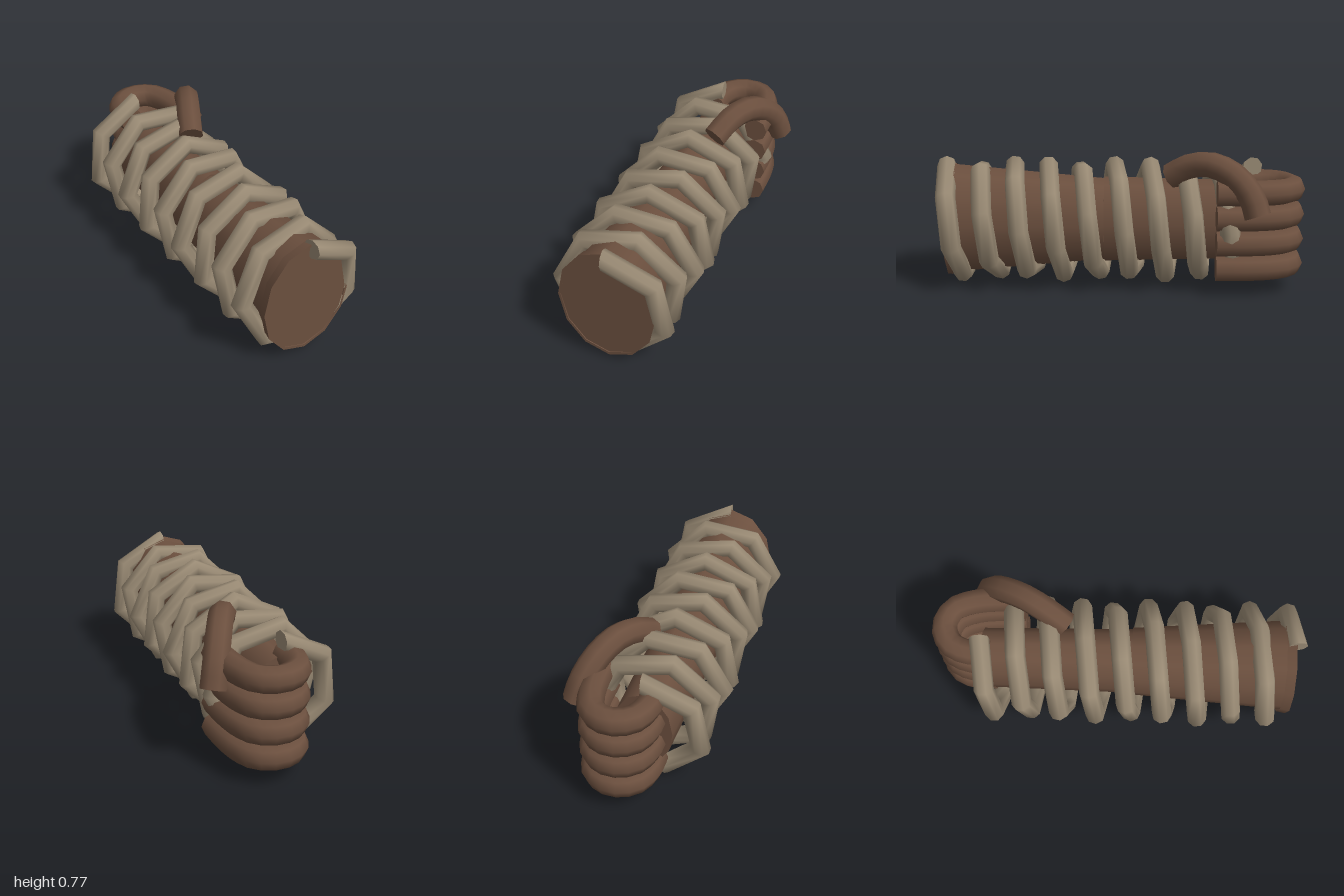
import * as THREE from 'three';

const CX = -0.03, CY = 0.35; // axis of the grip, running along z

const skin = new THREE.MeshStandardMaterial({ color: 0x6b4f3e, side: THREE.DoubleSide });
const cord = new THREE.MeshStandardMaterial({ color: 0x998a74, side: THREE.DoubleSide });

// Spiral wound clockwise from the front end to the back end
class Helix extends THREE.Curve {
  constructor(radius, zStart, zEnd, turns) {
    super();
    Object.assign(this, { radius, zStart, zEnd, turns });
  }
  getPoint(t, target = new THREE.Vector3()) {
    const a = Math.PI / 2 - t * this.turns * Math.PI * 2;
    return target.set(
      CX + Math.cos(a) * this.radius,
      CY + Math.sin(a) * this.radius,
      THREE.MathUtils.lerp(this.zStart, this.zEnd, t));
  }
}

// Tube with flat end caps, grouped under one name
function cappedTube(name, curve, segments, radius, sides, material) {
  const group = new THREE.Group();
  group.name = name;
  const tube = new THREE.TubeGeometry(curve, segments, radius, sides, false);
  group.add(new THREE.Mesh(tube, material));
  const pos = tube.attributes.position;
  for (const ring of [0, segments]) {
    const pts = [];
    for (let i = 0; i < sides; i++) {
      pts.push(new THREE.Vector3().fromBufferAttribute(pos, ring * (sides + 1) + i));
    }
    const cap = new THREE.BufferGeometry().setFromPoints(pts);
    const index = [];
    for (let i = 1; i < sides - 1; i++) {
      index.push(...(ring === 0 ? [0, i, i + 1] : [0, i + 1, i]));
    }
    cap.setIndex(index);
    cap.computeVertexNormals();
    group.add(new THREE.Mesh(cap, material));
  }
  return group;
}

const path = (points) => new THREE.CatmullRomCurve3(points.map((p) => new THREE.Vector3(...p)));

// Oval tapered section of the core between two z positions
function coreSection(name, rFront, rBack, zFront, zBack, ratio, open = false) {
  const g = new THREE.CylinderGeometry(rFront, rBack, zFront - zBack, 12, 1, open);
  g.rotateX(Math.PI / 2);
  g.scale(1, ratio, 1);
  return place(name, g, (zFront + zBack) / 2);
}

function place(name, geometry, z) {
  const mesh = new THREE.Mesh(geometry, skin);
  mesh.name = name;
  mesh.position.set(CX, CY, z);
  return mesh;
}

export function createModel() {
  const model = new THREE.Group();
  model.name = 'wrappedGrip';

  // Core: two tapered lengths and an end collar with a slightly recessed face
  model.add(
    coreSection('coreFront', 0.238, 0.178, 0.92, 0.08, 1.3),
    coreSection('coreBack', 0.166, 0.153, 0.08, -0.73, 1.45),
    coreSection('endCollar', 0.26, 0.25, 0.94, 0.89, 1.25, true),
    place('collarRim', new THREE.RingGeometry(0.247, 0.26, 12).scale(1, 1.25, 1), 0.94),
    place('endFace', new THREE.CircleGeometry(0.25, 12).scale(1, 1.25, 1), 0.932),
  );

  // Cord wound around the core, coarse along its length
  model.add(cappedTube('cordWrap', new Helix(0.298, 0.945, -0.73, 9), 60, 0.054, 8, cord));

  // Four fingers hooked around the back
  const finger = [
    [-0.075, -0.68], [-0.075, -0.8], [-0.03, -0.895], [0.07, -0.935],
    [0.165, -0.895], [0.21, -0.8], [0.23, -0.66], [0.233, -0.52],
  ];
  for (let i = 0; i < 4; i++) {
    const y = 0.145 + i * 0.137;
    const curve = path(finger.map(([x, z]) => [x, y, z]));
    model.add(cappedTube('finger' + (i + 1), curve, 16, 0.069, 8, skin));
  }

  // Thumb arched over the top
  model.add(cappedTube('thumb', path([
    [0.075, 0.615, -0.28], [0.125, 0.68, -0.38], [0.185, 0.7, -0.49],
    [0.25, 0.65, -0.61], [0.3, 0.55, -0.695], [0.325, 0.455, -0.725],
  ]), 10, 0.07, 8, skin));

  return model;
}
